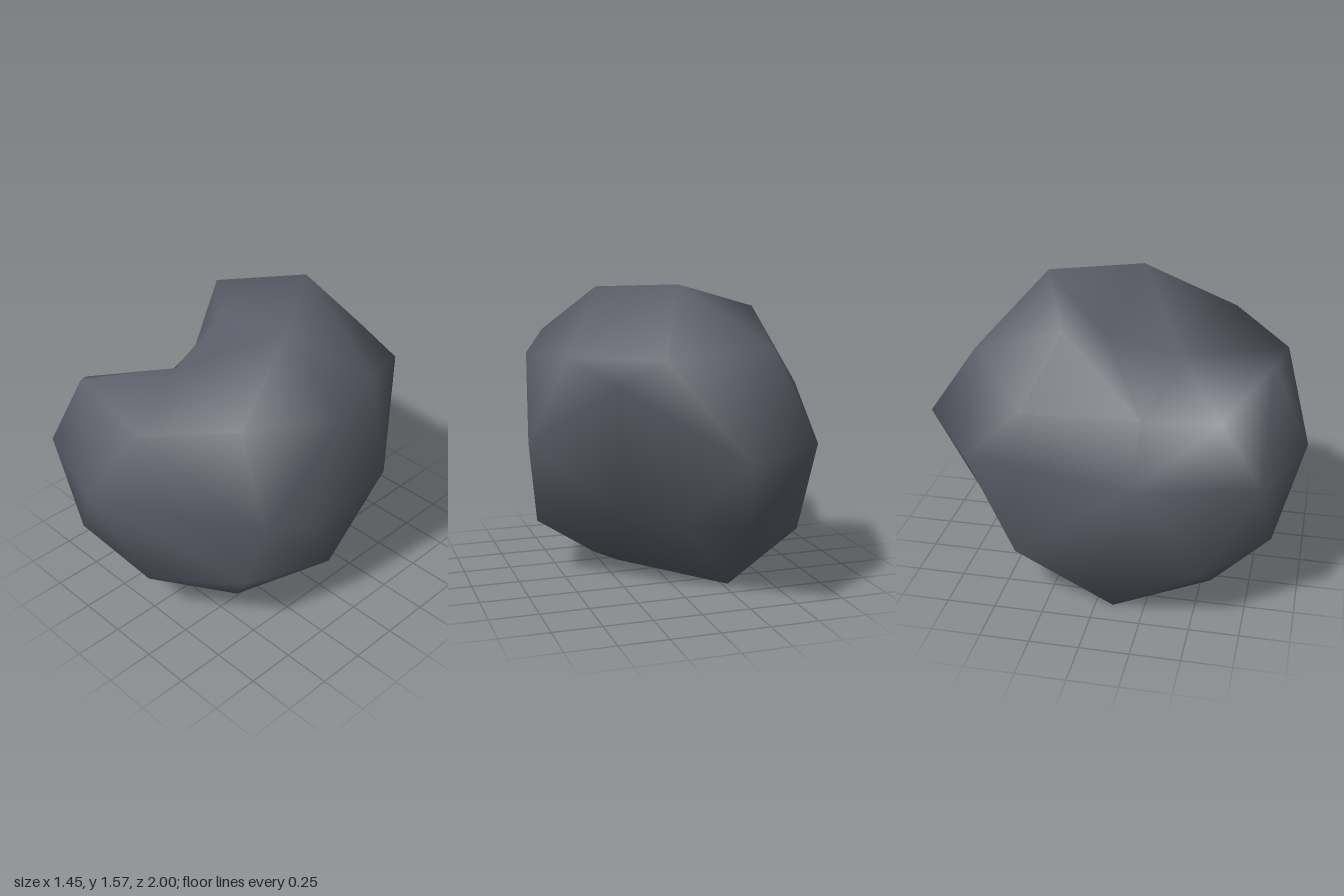
import * as THREE from 'three';
import { ConvexGeometry } from 'three/addons/geometries/ConvexGeometry.js';
import { mergeVertices } from 'three/addons/utils/BufferGeometryUtils.js';

// Corners of the boulder, grouped by region
const front = [
  [-0.155, 0.785, 1], [0.1, 1.2, 0.86], [-0.37, 1.285, 0.82], [0.48, 1.265, 0.55],
  [0.08, 0.3, 0.835], [-0.42, 0.37, 0.86], [0.51, 0.37, 0.57], [-0.68, 0.785, 0.82],
];
const crown = [
  [0, 1.565, -0.37], [0.3, 1.53, 0.07], [-0.47, 1.43, -0.18], [-0.39, 1.27, -0.65], [0.14, 1.24, -0.64],
];
const notch = [[-0.2, 1.23, 0.36], [-0.28, 1.35, -0.02], [-0.38, 0.94, 0.18]];
const leftSide = [
  [0.67, 1.2, 0.08], [0.725, 0.785, -0.2], [0.63, 0.3, 0.08], [0.55, 1.22, -0.29],
  [0.48, 0.58, 0.4], [0.615, 0.575, 0.185],
];
const rightSide = [
  [-0.64, 1.09, 0.6], [-0.725, 0.31, 0.55], [-0.7, 0.72, 0.2], [-0.64, 1.05, -0.36],
  [-0.685, 0.785, -0.36], [-0.65, 0.28, -0.41],
];
const back = [
  [-0.15, 0.785, -1], [0.39, 1.12, -0.66], [-0.64, 0.785, -0.65],
  [-0.26, 0.38, -0.7], [0.02, 0.4, -0.56], [0.3, 0.42, -0.38],
];
const base = [[0.24, 0, 0.37], [-0.3, 0, 0.55], [-0.62, 0, 0.09], [-0.28, 0, -0.37], [0.2, 0.05, 0.05]];

// Connects the corners as seen from a centre, so hollows are kept
function starSurface(corners, centre) {
  const points = corners.map((c) => new THREE.Vector3(...c));
  const directions = points.map((p) => p.clone().sub(centre).normalize());
  let geometry = new ConvexGeometry(directions);
  const position = geometry.attributes.position;
  const v = new THREE.Vector3();
  for (let i = 0; i < position.count; i++) {
    v.fromBufferAttribute(position, i);
    let best = 0;
    directions.forEach((d, k) => {
      if (d.distanceToSquared(v) < directions[best].distanceToSquared(v)) best = k;
    });
    position.setXYZ(i, ...points[best].toArray());
  }
  geometry.deleteAttribute('normal');
  geometry = mergeVertices(geometry);
  geometry.computeVertexNormals();
  return geometry;
}

export function createModel() {
  const group = new THREE.Group();
  group.name = 'rock';
  const stone = new THREE.MeshStandardMaterial({ color: 0x5c5e69 });
  stone.name = 'dark grey stone';

  const corners = [...front, ...crown, ...notch, ...leftSide, ...rightSide, ...back, ...base];
  const boulder = new THREE.Mesh(starSurface(corners, new THREE.Vector3(-0.05, 0.75, 0)), stone);
  boulder.name = 'boulder';
  group.add(boulder);
  return group;
}
